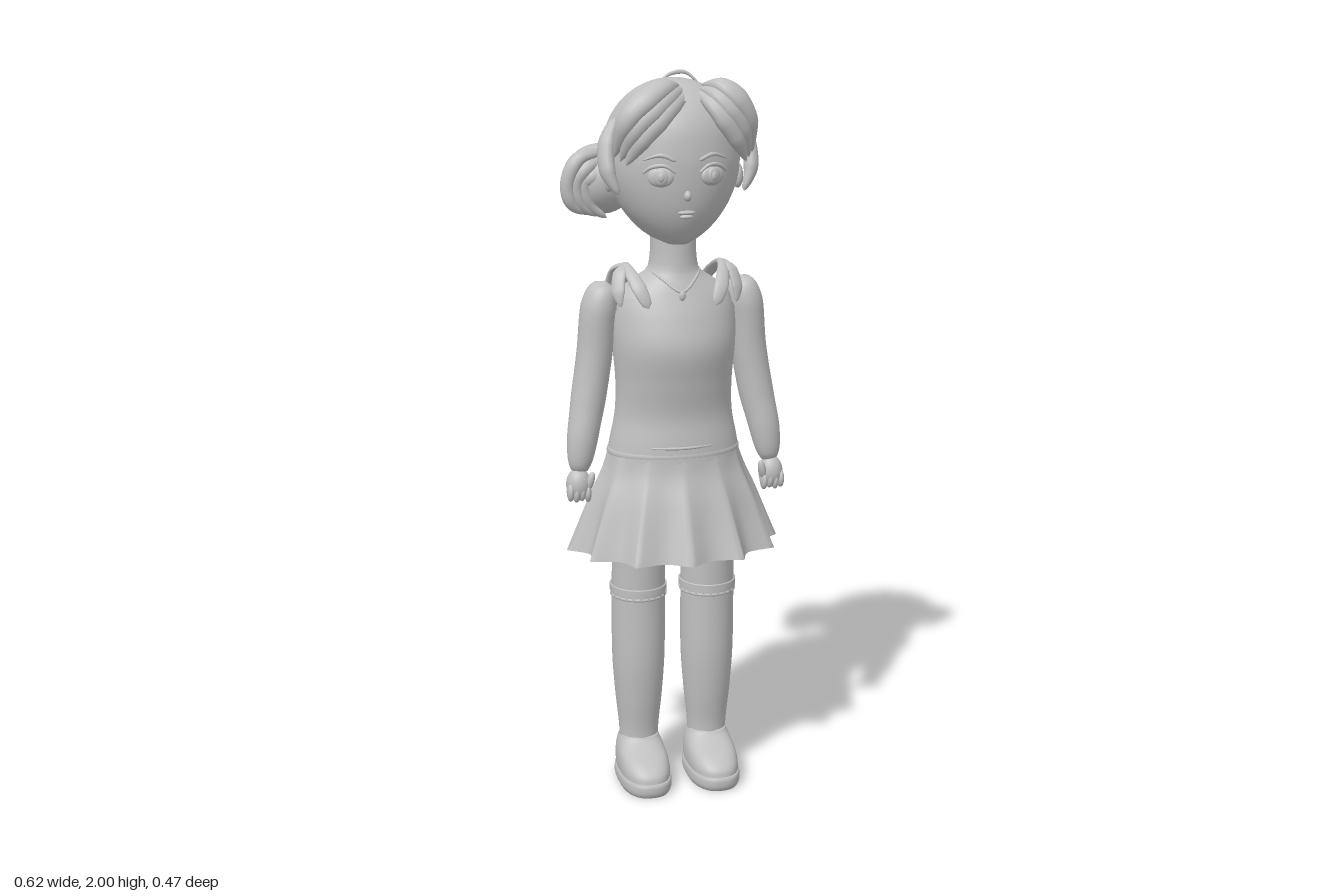
import * as THREE from 'three';

const grey = new THREE.MeshStandardMaterial({ color: 0xc0c0c0, side: THREE.DoubleSide });
grey.name = 'plain grey';

const V = (p) => new THREE.Vector3(...p);

// Closed-around grid surface: fn(v, angle) gives a point, rows run along v
function grid(rows, seg, fn) {
  const pos = [], idx = [];
  for (let i = 0; i <= rows; i++)
    for (let j = 0; j < seg; j++) pos.push(...fn(i / rows, (j / seg) * Math.PI * 2, i));
  for (let i = 0; i < rows; i++)
    for (let j = 0; j < seg; j++) {
      const k = (j + 1) % seg, a = i * seg, b = a + seg;
      idx.push(a + j, a + k, b + k, a + j, b + k, b + j);
    }
  const g = new THREE.BufferGeometry();
  g.setAttribute('position', new THREE.Float32BufferAttribute(pos, 3));
  g.setIndex(idx);
  g.computeVertexNormals();
  return g;
}

// Smooth lookup of [y, halfWidth, frontZ, backZ] at a height
function profile(secs, y) {
  let i = 0;
  while (i < secs.length - 2 && y > secs[i + 1][0]) i++;
  const a = secs[i], b = secs[i + 1], p = secs[Math.max(i - 1, 0)], n = secs[Math.min(i + 2, secs.length - 1)];
  const h = b[0] - a[0], t = THREE.MathUtils.clamp((y - a[0]) / h, 0, 1), t2 = t * t, t3 = t2 * t;
  return [1, 2, 3].map((k) => {
    const ma = ((b[k] - p[k]) / (b[0] - p[0])) * h, mb = ((n[k] - a[k]) / (n[0] - a[0])) * h;
    return (2 * t3 - 3 * t2 + 1) * a[k] + (t3 - 2 * t2 + t) * ma + (3 * t2 - 2 * t3) * b[k] + (t3 - t2) * mb;
  });
}

// Body of stacked oval sections; top(angle) trims the upper edge, shape(v, angle) scales the radius
function loft(secs, { rows = 32, seg = 40, cap = true, grow = 0, top, shape } = {}) {
  const y0 = secs[0][0], y1 = secs[secs.length - 1][0];
  return grid(rows, seg, (v, a, i) => {
    const w = cap ? THREE.MathUtils.clamp((i - 1) / (rows - 2), 0, 1) : v;
    const y = y0 + ((top ? top(a) : y1) - y0) * w;
    const [rx, f, b] = profile(secs, y);
    const s = cap && (i === 0 || i === rows) ? 0 : shape ? shape(w, a) : 1;
    return [(rx + grow) * s * Math.sin(a), y, (f + b) / 2 + ((f - b) / 2 + grow) * s * Math.cos(a)];
  });
}

// Tapered strand along a path; widths are [across, thick] per point, thickness points away from centre
function sweep(points, widths, centre = [0, 1.8, 0], rows = 24, seg = 14) {
  const curve = new THREE.CatmullRomCurve3(points.map(V));
  const c = V(centre), n = widths.length - 1;
  return grid(rows, seg, (v, a) => {
    const p = curve.getPoint(v), t = curve.getTangent(v);
    const o = p.clone().sub(c);
    o.addScaledVector(t, -o.dot(t)).normalize();
    const s = o.clone().cross(t);
    const i = Math.min(Math.floor(v * n), n - 1), f = v * n - i;
    const e = Math.sqrt(Math.max(0, 1 - Math.pow(Math.abs(2 * v - 1), 10)));
    const w = [0, 1].map((k) => THREE.MathUtils.lerp(widths[i][k], widths[i + 1][k], f) * e);
    return p.addScaledVector(s, w[0] * Math.cos(a)).addScaledVector(o, w[1] * Math.sin(a)).toArray();
  });
}

export function createModel() {
  const model = new THREE.Group();
  const add = (name, geo, pos = [0, 0, 0], scale = [1, 1, 1], rot = [0, 0, 0]) => {
    const m = new THREE.Mesh(geo, grey);
    m.name = name;
    m.position.set(...pos);
    m.scale.set(...scale);
    m.rotation.set(...rot);
    model.add(m);
  };
  const ball = new THREE.SphereGeometry(1, 28, 20);
  const mirror = (side, pts) => pts.map(([x, y, z]) => [x * side, y, z]);

  // Head and hair
  add('head', loft([[1.55, 0.035, 0.085, -0.03], [1.57, 0.075, 0.108, -0.085], [1.61, 0.118, 0.135, -0.122],
    [1.66, 0.152, 0.153, -0.15], [1.73, 0.178, 0.163, -0.17], [1.8, 0.18, 0.163, -0.175],
    [1.88, 0.158, 0.145, -0.155], [1.94, 0.1, 0.095, -0.1], [1.965, 0.03, 0.03, -0.03]]));
  add('hairCap', grid(28, 56, (v, a) => {
    const low = 1 - THREE.MathUtils.smoothstep(Math.cos(a), -0.25, 0.45);
    const th = (1 - v) * (0.75 + low * 1.49);
    return [0.188 * Math.sin(th) * Math.sin(a), 1.796 + 0.188 * Math.cos(th), 0.187 * Math.sin(th) * Math.cos(a)];
  }));
  const lockW = [[0.008, 0.006], [0.028, 0.022], [0.036, 0.026], [0.028, 0.022], [0.006, 0.006]];
  for (let k = 0; k < 3; k++) {
    const d = k * 0.024;
    add('rightFringe', sweep([[0.03 - d * 0.5, 1.955 + d * 0.25, 0.065 - d * 0.3], [-0.05 - d * 0.4, 1.915 + d, 0.138 - d * 0.2],
      [-0.115 - d * 0.8, 1.85 + d, 0.15], [-0.158 - d * 0.5, 1.77 + d * 0.4, 0.13 - d * 0.6]], lockW));
    add('leftFringe', sweep([[0.045 + d * 0.4, 1.955 + d * 0.25, 0.065 - d * 0.3], [0.085 + d * 0.6, 1.915 + d, 0.135 - d * 0.2],
      [0.13 + d * 0.8, 1.85 + d, 0.14 - d * 0.2], [0.172 + d * 0.5, 1.77 + d * 0.4, 0.115 - d * 0.6]], lockW));
    // Curls wrapped round the side bun
    const q = k * 0.022;
    add('bunCurl', sweep([[-0.19, 1.79 - q, -0.03], [-0.255 + q, 1.775 - q, -0.01], [-0.285 + q, 1.71, -0.015],
      [-0.27 + q, 1.65, -0.02], [-0.22 + q, 1.625 - q * 0.3, -0.025]],
    [[0.016, 0.012], [0.022, 0.018], [0.02, 0.018], [0.008, 0.008]], [-0.19, 1.71, -0.08]));
  }
  add('sideBun', ball, [-0.18, 1.71, -0.085], [0.1, 0.095, 0.1]);
  add('crownTuft', sweep([[-0.03, 1.975, -0.012], [0, 1.992, -0.018], [0.04, 1.994, -0.02], [0.075, 1.965, -0.014]],
    [[0.004, 0.003], [0.004, 0.006], [0.004, 0.003]]));

  // Nose, mouth and necklace
  add('nose', ball, [0, 1.69, 0.16], [0.01, 0.014, 0.014]);
  for (const [y, w] of [[1.645, 0.024], [1.634, 0.018]]) add('lip', ball, [0, y, 0.149], [w, 0.006, 0.008]);
  add('necklace', sweep([[-0.07, 1.475, 0.02], [-0.045, 1.455, 0.072], [0, 1.425, 0.105], [0.045, 1.455, 0.072], [0.07, 1.475, 0.02]],
    [[0.004, 0.004], [0.004, 0.004]], [0, 1.45, 0]));
  add('pendant', ball, [0, 1.415, 0.108], [0.009, 0.013, 0.006]);

  // Torso, vest and skirt
  const torso = [[0.955, 0.18, 0.122, -0.118], [1.0, 0.172, 0.118, -0.11], [1.08, 0.157, 0.11, -0.097],
    [1.17, 0.155, 0.124, -0.103], [1.27, 0.163, 0.14, -0.118], [1.35, 0.165, 0.122, -0.122],
    [1.41, 0.155, 0.098, -0.11], [1.445, 0.11, 0.084, -0.088], [1.475, 0.07, 0.073, -0.068], [1.6, 0.062, 0.066, -0.06]];
  add('torsoAndNeck', loft(torso, { rows: 50 }));
  add('vest', loft(torso, {
    rows: 40, seg: 64, cap: false, grow: 0.007,
    top: (a) => {
      const s = Math.abs(Math.sin(a)), dip = Math.cos(a) > 0 ? 1.325 : 1.345;
      return dip + (1.405 - dip) * Math.min(1, s / 0.75) - 0.04 * THREE.MathUtils.smoothstep(s, 0.8, 1);
    },
  }));
  const hem = new THREE.TorusGeometry(1, 0.035, 10, 48);
  add('waistband', hem, [0, 0.972, 0.002], [0.18, 0.122, 0.32], [Math.PI / 2, 0, 0]);
  add('vestHem', sweep([[-0.09, 0.998, 0.108], [0, 0.998, 0.126], [0.09, 0.998, 0.108]], [[0.004, 0.004], [0.004, 0.004]], [0, 1, 0]));
  add('pleatedSkirt', loft([[0.692, 0.303, 0.233, -0.235], [0.76, 0.274, 0.204, -0.206], [0.85, 0.236, 0.168, -0.168],
    [0.92, 0.203, 0.138, -0.138], [0.972, 0.184, 0.126, -0.122]], {
    rows: 20, seg: 144, cap: false,
    shape: (v, a) => 1 - 0.15 * Math.pow(1 - v, 0.8) * Math.abs(Math.sin(6 * a)),
  }));
  add('hips', loft([[0.74, 0.14, 0.085, -0.085], [0.8, 0.172, 0.1, -0.1], [0.97, 0.175, 0.115, -0.11]], { rows: 12 }));

  for (const side of [-1, 1]) {
    const s = side > 0 ? 'left' : 'right';
    const m = (pts) => mirror(side, pts);

    // Eyes, brows, ears and side locks
    add(s + 'Eye', ball, [side * 0.07, 1.74, 0.149], [0.035, 0.026, 0.012], [0, side * 0.38, 0]);
    add(s + 'Iris', ball, [side * 0.071, 1.741, 0.156], [0.02, 0.023, 0.009], [0, side * 0.38, 0]);
    add(s + 'Pupil', ball, [side * 0.072, 1.741, 0.163], [0.009, 0.012, 0.005], [0, side * 0.38, 0]);
    add(s + 'Lashes', sweep(m([[0.03, 1.75, 0.162], [0.06, 1.77, 0.158], [0.095, 1.765, 0.142], [0.115, 1.748, 0.13]]),
      [[0.003, 0.004], [0.006, 0.005], [0.003, 0.004]]));
    add(s + 'Brow', sweep(m([[0.03, 1.782, 0.161], [0.07, 1.797, 0.152], [0.115, 1.783, 0.13]]),
      [[0.005, 0.004], [0.006, 0.005], [0.002, 0.003]]));
    add(s + 'Ear', ball, [side * 0.178, 1.72, 0.01], [0.014, 0.034, 0.022]);
    add(s + 'SideLock', sweep(m([[0.165, 1.885, 0.035], [0.192, 1.82, 0.052], [0.195, 1.75, 0.078], [0.17, 1.69, 0.098]]),
      [[0.016, 0.012], [0.028, 0.022], [0.026, 0.02], [0.008, 0.008]]));

    // Tied shoulder straps
    add(s + 'Strap', sweep(m([[0.092, 1.385, 0.108], [0.115, 1.44, 0.085], [0.135, 1.485, 0.01], [0.125, 1.455, -0.06], [0.1, 1.395, -0.112]]),
      [[0.016, 0.007], [0.02, 0.008], [0.014, 0.01], [0.018, 0.007], [0.016, 0.006]], [0.1 * side, 1.38, 0]));
    for (const z of [0.06, -0.05])
      add(s + 'StrapBow', sweep(m([[0.135, 1.49, 0.01], [0.155, 1.472, z * 0.6], [0.165, 1.425, z], [0.16, 1.385, z * 1.2]]),
        [[0.006, 0.006], [0.02, 0.008], [0.02, 0.008], [0.005, 0.004]], [0.12 * side, 1.4, 0]));

    // Arms and fists
    add(s + 'Arm', sweep(m([[0.187, 1.445, -0.004], [0.205, 1.37, -0.006], [0.217, 1.25, -0.008], [0.238, 1.12, 0], [0.258, 1.02, 0.018], [0.273, 0.915, 0.03]]),
      [[0.052, 0.042], [0.06, 0.05], [0.056, 0.049], [0.052, 0.048], [0.043, 0.043], [0.031, 0.034]], [0, 1.2, 0], 36, 24));
    add(s + 'Palm', ball, [side * 0.274, 0.89, 0.032], [0.034, 0.046, 0.034]);
    for (let k = 0; k < 4; k++)
      add(s + 'Finger', ball, [side * (0.251 + k * 0.016), 0.868 + 0.004 * (k % 2), 0.045], [0.01, 0.026, 0.02]);
    add(s + 'Thumb', ball, [side * 0.245, 0.9, 0.05], [0.011, 0.03, 0.013], [0.2, 0, side * 0.25]);

    // Legs with lace-topped stockings
    add(s + 'Leg', loft([[0.09, 0.055, 0.052, -0.056], [0.15, 0.056, 0.052, -0.056], [0.25, 0.066, 0.066, -0.07],
      [0.37, 0.074, 0.077, -0.082], [0.55, 0.075, 0.079, -0.08], [0.68, 0.074, 0.085, -0.08], [0.85, 0.08, 0.09, -0.085]]), [side * 0.1, 0, 0]);
    for (const y of [0.58, 0.554])
      add(s + 'StockingBand', hem, [side * 0.1, y, 0], [0.077, 0.081, 0.12], [Math.PI / 2, 0, 0]);
    add(s + 'StockingLace', grid(1, 96, (v, a) => {
      const tooth = Math.abs(((a * 24) / Math.PI / 2) % 1 - 0.5) * 2;
      return [side * 0.1 + 0.08 * Math.sin(a), v ? 0.582 : 0.55 + 0.022 * tooth, 0.084 * Math.cos(a)];
    }));

    // Rounded shoes with a thick sole
    const blunt = (v, a) => Math.pow(Math.pow(Math.abs(Math.sin(a)), 2.5) + Math.pow(Math.abs(Math.cos(a)), 2.5), -0.4);
    add(s + 'Sole', loft([[0, 0.068, 0.175, -0.08], [0.012, 0.073, 0.181, -0.085], [0.032, 0.073, 0.182, -0.085], [0.04, 0.07, 0.178, -0.082]],
      { rows: 14, shape: blunt }), [side * 0.1, 0, 0]);
    add(s + 'Shoe', loft([[0.035, 0.069, 0.176, -0.081], [0.06, 0.07, 0.168, -0.08], [0.085, 0.068, 0.135, -0.077],
      [0.105, 0.063, 0.088, -0.07], [0.122, 0.057, 0.058, -0.061], [0.132, 0.053, 0.05, -0.055]],
    { rows: 22, shape: blunt }), [side * 0.1, 0, 0]);
  }
  return model;
}
